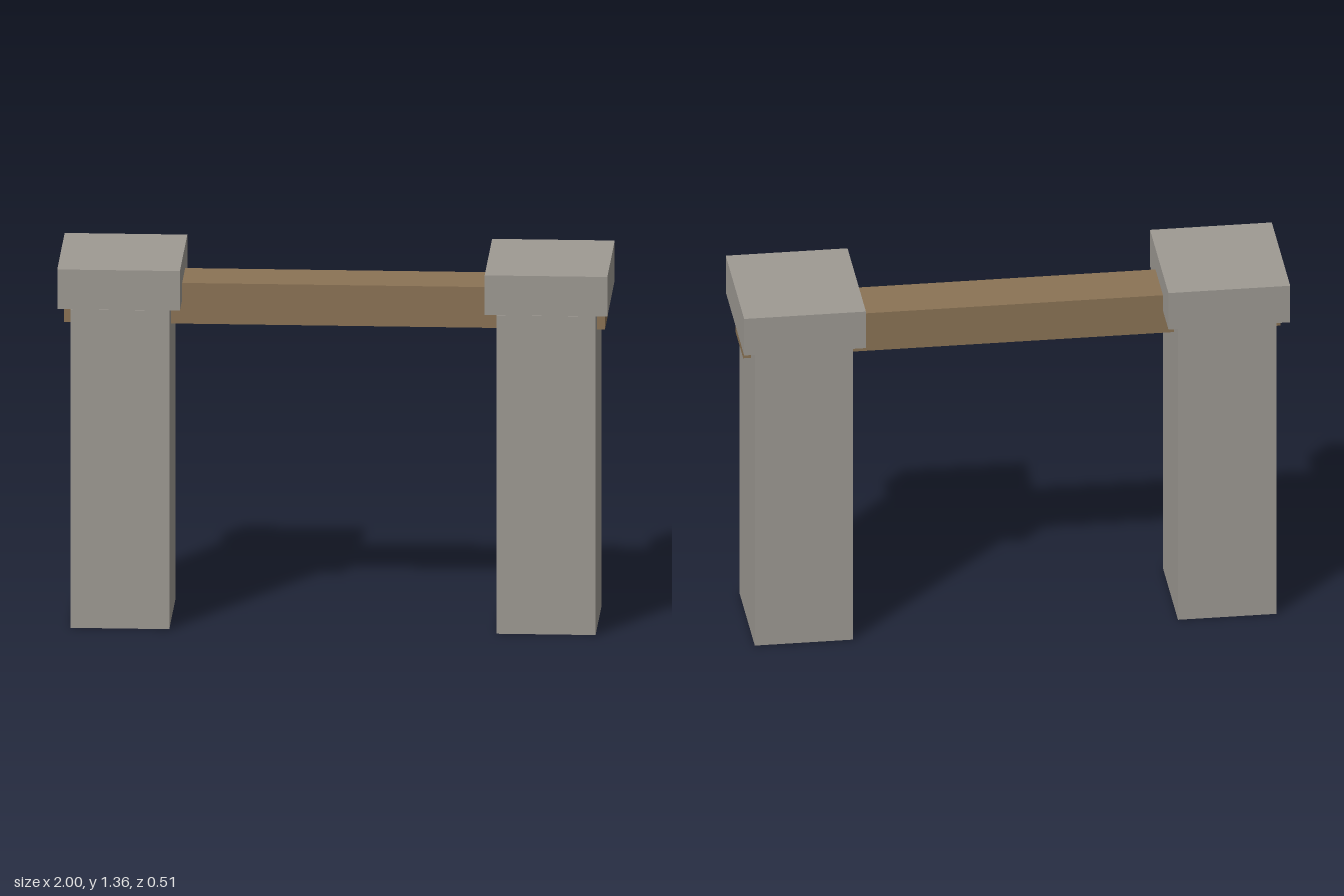
import * as THREE from 'three';

export function createModel() {
  const group = new THREE.Group();
  const stone = new THREE.MeshStandardMaterial({ color: 0x9e9a93 });
  stone.name = 'stone';
  const wood = new THREE.MeshStandardMaterial({ color: 0x8b7355 });
  wood.name = 'wood';

  // Box placed by its centre in x and its bottom and top in y
  function block(name, material, x, width, bottom, top, depth) {
    const mesh = new THREE.Mesh(new THREE.BoxGeometry(width, top - bottom, depth), material);
    mesh.name = name;
    mesh.position.set(x, (bottom + top) / 2, 0);
    group.add(mesh);
  }

  // Pillars with overhanging capstones
  for (const [side, s] of [['left', 1], ['right', -1]]) {
    block(side + 'Pillar', stone, s * 0.775, 0.36, 0, 1.198, 0.415);
    block(side + 'Capstone', stone, s * 0.777, 0.446, 1.211, 1.36, 0.507);
  }

  // Crossbeam running through both pillar tops
  block('crossbeam', wood, 0, 1.967, 1.122, 1.275, 0.207);

  return group;
}
